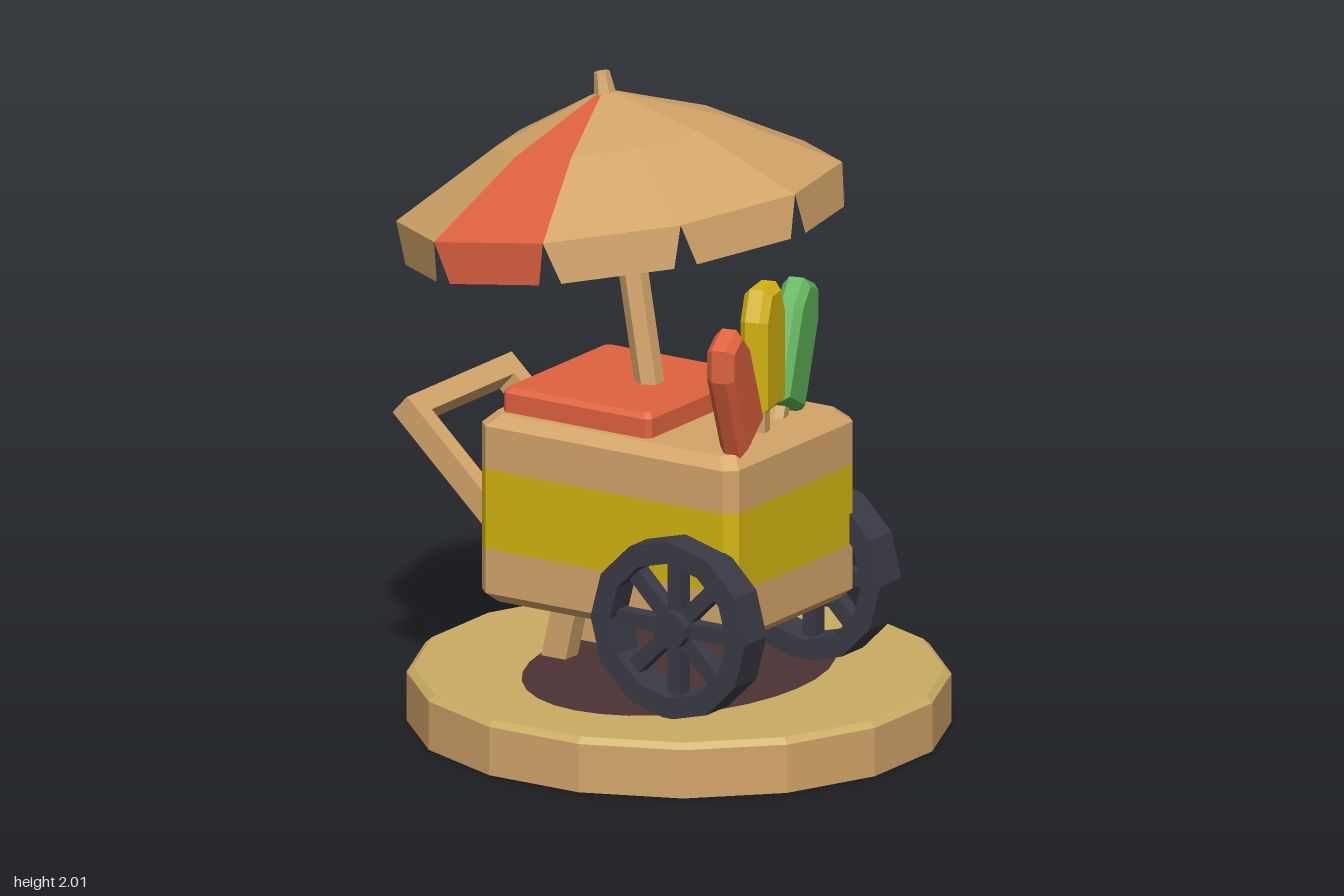
import * as THREE from 'three';

const mat = (name, color, side = THREE.FrontSide) => {
  const m = new THREE.MeshStandardMaterial({ color, side, flatShading: true });
  m.name = name;
  return m;
};

export function createModel() {
  const root = new THREE.Group();
  root.name = 'streetCart';
  const tan = mat('tan wood', 0xd3a569);
  const tanCloth = mat('tan cloth', 0xd3a569, THREE.DoubleSide);
  const red = mat('red', 0xe0623f);
  const redCloth = mat('red cloth', 0xe0623f, THREE.DoubleSide);
  const yellow = mat('yellow', 0xd4b40f);
  const green = mat('green', 0x60b35a);
  const dark = mat('dark iron', 0x3a3a45);
  const sand = mat('sand', 0xcbac62);
  const shade = mat('dark ground', 0x4b3334);

  const add = (name, geo, material, parent = root) => {
    const mesh = new THREE.Mesh(geo, material);
    mesh.name = name;
    parent.add(mesh);
    return mesh;
  };
  const group = (name, x, y, z, parent = root) => {
    const g = new THREE.Group();
    g.name = name;
    g.position.set(x, y, z);
    parent.add(g);
    return g;
  };
  const fromPoints = (pts) => {
    const g = new THREE.BufferGeometry().setFromPoints(pts);
    g.computeVertexNormals();
    return g;
  };
  // Quad with its upper edge a-b and lower edge c-d
  const quad = (out, a, b, c, d) => out.push(a, b, c, b, d, c);

  // Box with chamfered corners; levels are [y, inset] from top to bottom
  const chamferBox = (hx, hz, c, levels) => {
    const rings = levels.map(([y, inset]) => {
      const x = hx - inset, z = hz - inset;
      return [[x, z - c], [x - c, z], [c - x, z], [-x, z - c], [-x, c - z], [c - x, -z], [x - c, -z], [x, c - z]]
        .map(([px, pz]) => new THREE.Vector3(px, y, pz));
    });
    const out = [];
    const top = new THREE.Vector3(0, levels[0][0], 0);
    const bottom = new THREE.Vector3(0, levels[levels.length - 1][0], 0);
    for (let i = 0; i < 8; i++) {
      const j = (i + 1) % 8;
      const last = rings[rings.length - 1];
      out.push(top, rings[0][j], rings[0][i], bottom, last[i], last[j]);
      for (let r = 0; r + 1 < rings.length; r++) quad(out, rings[r][i], rings[r][j], rings[r + 1][i], rings[r + 1][j]);
    }
    return fromPoints(out);
  };

  // Square beam between two points in the x-y plane
  const beam = (name, [x0, y0], [x1, y1], z, w, d) => {
    const m = add(name, new THREE.BoxGeometry(w, Math.hypot(x1 - x0, y1 - y0), d), tan);
    m.position.set((x0 + x1) / 2, (y0 + y1) / 2, z);
    m.rotation.z = Math.atan2(x0 - x1, y1 - y0);
    return m;
  };

  // Round base with a bevelled sand top
  const base = group('base', 0.03, 0, 0);
  base.scale.z = 0.973;
  const baseSide = add('baseSide', new THREE.CylinderGeometry(0.829, 0.829, 0.152, 16), tan, base);
  baseSide.position.y = 0.076;
  const baseTop = add('baseTop', new THREE.CylinderGeometry(0.808, 0.829, 0.018, 16), sand, base);
  baseTop.position.y = 0.161;
  baseSide.rotation.y = baseTop.rotation.y = Math.PI / 16;
  const patch = add('groundPatch', new THREE.CircleGeometry(1, 32), shade, base);
  patch.rotation.x = -Math.PI / 2;
  patch.scale.set(0.43, 0.58, 1);
  patch.position.y = 0.174;

  // Cart body in three bands, then its lid
  const cart = group('cartBody', 0.005, 0, 0.025);
  const HX = 0.465, HZ = 0.345, C = 0.035;
  add('bodyTop', chamferBox(HX, HZ, C, [[0.98, 0.035], [0.945, 0], [0.81, 0]]), tan, cart);
  add('bodyStripe', chamferBox(HX, HZ, C, [[0.81, 0], [0.56, 0]]), yellow, cart);
  add('bodyBottom', chamferBox(HX, HZ, C, [[0.56, 0], [0.42, 0], [0.39, 0.03]]), tan, cart);
  add('lid', chamferBox(0.268, 0.285, 0.015, [[1.056, 0.015], [1.04, 0], [0.97, 0]]), red, cart)
    .position.x = -0.145;

  // Handle and rear legs
  for (const s of [-1, 1]) {
    beam('handleArm', [-0.775, 0.94], [-0.43, 0.622], 0.025 + s * 0.255, 0.078, 0.06);
    beam('leg', [-0.335, 0.16], [-0.275, 0.42], 0.006 + s * 0.1, 0.085, 0.068);
  }
  beam('handleBar', [-0.775, 0.94], [-0.725, 0.894], 0.025, 0.078, 0.56);

  // Spoked wheels
  const ring = (r) => Array.from({ length: 12 }, (_, i) =>
    new THREE.Vector2(r * Math.cos(i * Math.PI / 6), r * Math.sin(i * Math.PI / 6)));
  const tyreShape = new THREE.Shape(ring(0.28));
  tyreShape.holes.push(new THREE.Path(ring(0.212)));
  const tyreGeo = new THREE.ExtrudeGeometry(tyreShape, { depth: 0.118, bevelEnabled: false });
  tyreGeo.translate(0, 0, -0.059);
  for (const z of [0.408, -0.327]) {
    const wheel = group('wheel', 0.3, 0.445, z);
    add('tyre', tyreGeo, dark, wheel);
    add('hub', new THREE.CylinderGeometry(0.06, 0.06, 0.112, 10), dark, wheel).rotation.x = Math.PI / 2;
    for (let i = 0; i < 4; i++) {
      add('spoke', new THREE.BoxGeometry(0.048, 0.45, 0.05), dark, wheel).rotation.z = i * Math.PI / 4;
    }
  }

  // Three ice pops in a slightly turned row
  const b = 0.022, w = 0.095 - b, h = 0.195 - b;
  const popShape = new THREE.Shape([[-w, -h], [w, -h], [w, h - 0.075], [w - 0.035, h], [0.035 - w, h], [-w, h - 0.075]]
    .map(([x, y]) => new THREE.Vector2(x, y)));
  const popGeo = new THREE.ExtrudeGeometry(popShape,
    { depth: 0.045, bevelThickness: b, bevelSize: b, bevelSegments: 1 });
  popGeo.translate(0, 0, -0.0225);
  const row = group('icePops', 0.365, 0, 0.047);
  row.rotation.y = Math.PI / 2 - 0.23;
  row.rotation.y += 0.46;
  for (const [x, y, tilt, m] of [[-0.255, 1.185, 0.44, red], [0, 1.245, 0, yellow], [0.255, 1.185, -0.44, green]]) {
    const pop = group('icePop', x, y, 0, row);
    pop.rotation.z = tilt;
    add('ice', popGeo, m, pop);
    add('stick', new THREE.BoxGeometry(0.042, 0.14, 0.03), tan, pop).position.y = -0.235;
  }

  // Tilted parasol
  const TILT = 0.17;
  const parasol = group('parasol', -0.18, 1.635, 0.01);
  parasol.rotation.z = TILT;
  const P = (k, r, y) => {
    const a = (k * 36 + 4) * Math.PI / 180;
    return new THREE.Vector3(r * Math.cos(a), y, r * Math.sin(a));
  };
  const apex = new THREE.Vector3(0, 0.32, 0);
  for (let k = 0; k < 10; k++) {
    const top = [apex, P(k + 1, 0.35, 0.187), P(k, 0.35, 0.187)];
    const r0 = P(k, 0.68, 0), r1 = P(k + 1, 0.68, 0);
    quad(top, top[2], top[1], r0, r1);
    add('canopyPanel', fromPoints(top), k === 2 || k === 7 ? redCloth : tanCloth, parasol);
    // Hanging flap, narrower at its lower edge
    const b0 = r0.clone().lerp(r1, 0.09), b1 = r1.clone().lerp(r0, 0.09);
    b0.y = b1.y = -0.13;
    const flap = [];
    quad(flap, r0, r1, b0, b1);
    add('canopyFlap', fromPoints(flap), [2, 7, 8].includes(k) ? redCloth : tanCloth, parasol);
  }
  add('pole', new THREE.CylinderGeometry(0.045, 0.045, 0.96, 6), tan, parasol).position.set(0.01, -0.19, 0);
  add('finial', new THREE.CylinderGeometry(0.024, 0.037, 0.09, 6), tan, parasol).position.y = 0.328;

  return root;
}
